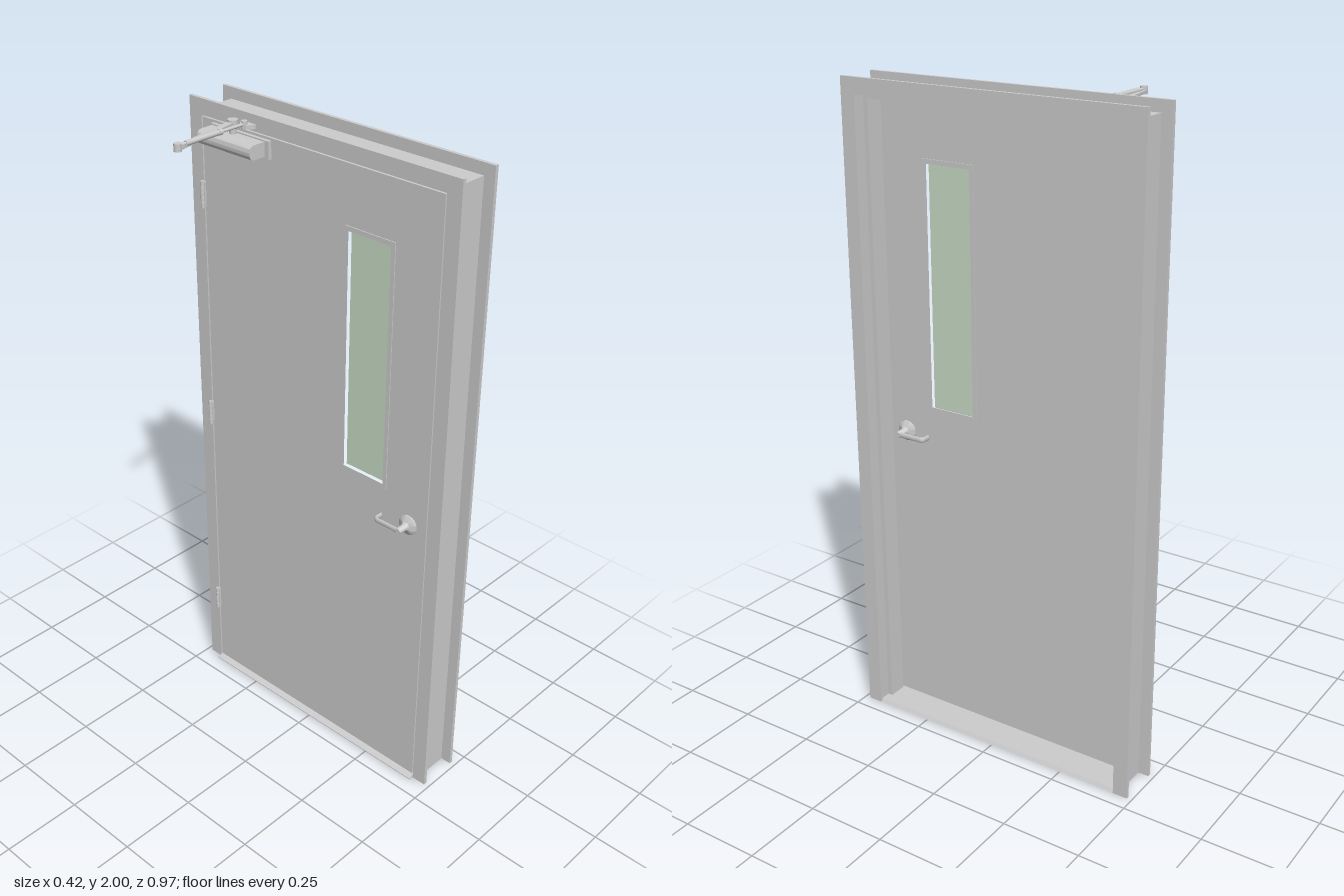
import * as THREE from 'three';
import { toCreasedNormals } from 'three/addons/utils/BufferGeometryUtils.js';

const grey = new THREE.MeshStandardMaterial({ color: 0xcccccc });
const green = new THREE.MeshStandardMaterial({ color: 0xc8dcc4 });

function add(parent, name, geometry, material = grey) {
  const mesh = new THREE.Mesh(geometry, material);
  mesh.name = name;
  parent.add(mesh);
  return mesh;
}

function group(parent, name) {
  const g = new THREE.Group();
  g.name = name;
  parent.add(g);
  return g;
}

// Box given by its limits on each axis
function box(x0, x1, y0, y1, z0, z1) {
  return new THREE.BoxGeometry(x1 - x0, y1 - y0, z1 - z0)
    .translate((x0 + x1) / 2, (y0 + y1) / 2, (z0 + z1) / 2);
}

// Shape drawn in the door plane as (z, y) pairs
const outline = (pts, Type = THREE.Shape) => new Type(pts.map(([z, y]) => new THREE.Vector2(-z, y)));
const rect = (z0, z1, y0, y1) => [[z0, y0], [z1, y0], [z1, y1], [z0, y1]];

// Extrudes a door-plane shape through the wall, from x0 to x1
function through(shape, x0, x1) {
  return new THREE.ExtrudeGeometry(shape, { depth: x1 - x0, bevelEnabled: false })
    .rotateY(Math.PI / 2).translate(x0, 0, 0);
}

// Round rod between two points, with optional taper
function rod(a, b, r0, r1 = r0, sides = 16) {
  const p = new THREE.Vector3(...a), d = new THREE.Vector3(...b).sub(p);
  const q = new THREE.Quaternion().setFromUnitVectors(new THREE.Vector3(0, 1, 0), d.clone().normalize());
  const m = p.clone().addScaledVector(d, 0.5);
  return new THREE.CylinderGeometry(r1, r0, d.length(), sides).applyQuaternion(q).translate(m.x, m.y, m.z);
}

const OPEN_Z = 0.437, OPEN_Y = 1.953;   // frame opening: half width and height
const FACE = 0.066, BACK = 0.106;       // leaf surfaces

function makeFrame(root) {
  const frame = group(root, 'frame');
  // Each layer: start, end, outward reach, inward reach
  const layers = [
    ['rearCasing', 0.065, 0.076, 0.047, 0],
    ['rearRabbet', 0.076, 0.11, 0.013, 0],
    ['doorStop', 0.11, 0.168, 0.013, 0.015],
    ['frontRabbet', 0.168, 0.195, 0.013, 0],
    ['frontCasing', 0.195, 0.206, 0.047, 0],
  ];
  for (const [name, x0, x1, out, inn] of layers) {
    const zo = OPEN_Z + out, yo = OPEN_Y + out, zi = OPEN_Z - inn, yi = OPEN_Y - inn;
    const u = outline([[zo, 0], [zo, yo], [-zo, yo], [-zo, 0], [-zi, 0], [-zi, yi], [zi, yi], [zi, 0]]);
    add(frame, name, through(u, x0, x1));
  }
}

function makeThreshold(root) {
  const s = new THREE.Shape([[0.05, 0], [0.205, 0], [0.198, 0.011], [0.07, 0.011], [0.05, 0.003]]
    .map(([x, y]) => new THREE.Vector2(x, y)));
  const g = new THREE.ExtrudeGeometry(s, { depth: 2 * OPEN_Z, bevelEnabled: false });
  add(root, 'threshold', g.translate(0, 0, -OPEN_Z));
}

function makeLeaf(root) {
  const leaf = group(root, 'door');
  const panel = outline(rect(-0.433, 0.433, 0.014, 1.949));
  panel.holes.push(outline(rect(0.115, 0.275, 1.03, 1.77), THREE.Path));
  add(leaf, 'doorPanel', through(panel, FACE, BACK));

  // Raised trim around the window on both faces
  const trim = outline(rect(0.108, 0.282, 1.022, 1.778));
  trim.holes.push(outline(rect(0.121, 0.269, 1.036, 1.764), THREE.Path));
  add(leaf, 'rearWindowTrim', through(trim, FACE - 0.003, FACE + 0.012));
  add(leaf, 'frontWindowTrim', through(trim, BACK - 0.012, BACK + 0.003));
  add(leaf, 'windowGlass', box(0.083, 0.089, 1.03, 1.77, 0.115, 0.275), green);
}

// Lever handle, centred on the leaf and pointing to -x
function makeHandle(root, name, turn) {
  const handle = group(root, name);
  const profile = [[0, 0], [0.031, 0], [0.031, 0.005], [0.026, 0.008], [0.015, 0.014],
    [0.011, 0.022], [0.01, 0.044], [0.008, 0.048], [0, 0.048]].map(([r, h]) => new THREE.Vector2(r, h));
  const rose = toCreasedNormals(new THREE.LatheGeometry(profile, 28), 0.6);
  add(handle, 'rose', rose.rotateZ(Math.PI / 2).translate(-0.02, 0, 0));

  // Flattened bar that turns back towards the door
  const v = (x, z) => new THREE.Vector3(x, 0, z);
  const path = new THREE.CurvePath();
  path.add(new THREE.LineCurve3(v(-0.064, 0), v(-0.064, -0.078)));
  path.add(new THREE.QuadraticBezierCurve3(v(-0.064, -0.078), v(-0.064, -0.089), v(-0.055, -0.089)));
  path.add(new THREE.LineCurve3(v(-0.055, -0.089), v(-0.036, -0.089)));
  add(handle, 'lever', new THREE.TubeGeometry(path, 40, 0.004, 12).scale(1, 2.1, 1));
  add(handle, 'leverTip', new THREE.SphereGeometry(0.004, 12, 8).scale(1, 2.1, 1).translate(-0.036, 0, -0.089));

  handle.position.set((FACE + BACK) / 2, 0.94, 0.368);
  handle.rotation.z = turn;
}

function makeHinges(root) {
  for (const y of [0.262, 0.995, 1.72]) {
    const hinge = group(root, 'hinge');
    add(hinge, 'hingeLeaf', box(0.06, 0.068, -0.039, 0.039, -0.444, -0.43));
    // Five knuckles on one pin
    for (let i = 0; i < 5; i++) {
      const y0 = -0.039 + i * 0.0158;
      add(hinge, 'hingeKnuckle', rod([0.058, y0, -0.437], [0.058, y0 + 0.0148, -0.437], 0.006));
    }
    add(hinge, 'hingePin', rod([0.058, -0.042, -0.437], [0.058, 0.042, -0.437], 0.004));
    hinge.position.y = y;
  }
}

function makeCloser(root) {
  const closer = group(root, 'doorCloser');
  // Body with a rounded outer side
  const s = new THREE.Shape();
  s.moveTo(FACE, 1.896);
  s.lineTo(FACE, 1.938);
  s.lineTo(0.016, 1.938);
  s.quadraticCurveTo(-0.002, 1.938, -0.002, 1.917);
  s.quadraticCurveTo(-0.002, 1.896, 0.016, 1.896);
  const body = new THREE.ExtrudeGeometry(s, { depth: 0.205, bevelEnabled: false }).translate(0, 0, -0.385);
  add(closer, 'closerBody', toCreasedNormals(body, 0.6));
  add(closer, 'closerPlate', box(0.055, FACE, 1.89, 1.942, -0.39, -0.165));
  add(closer, 'closerSpindle', rod([0.045, 1.885, -0.291], [0.045, 1.975, -0.291], 0.01));
  add(closer, 'spindleCap', rod([0.045, 1.958, -0.291], [0.045, 1.978, -0.291], 0.015));

  // Flat main arm from spindle to elbow
  const a = new THREE.Vector2(0.045, -0.291), b = new THREE.Vector2(-0.198, -0.247);
  const d = b.clone().sub(a);
  const arm = add(closer, 'mainArm', new THREE.BoxGeometry(d.length(), 0.008, 0.02));
  arm.position.set((a.x + b.x) / 2, 1.968, (a.y + b.y) / 2);
  arm.rotation.y = -Math.atan2(d.y, d.x);
  add(closer, 'elbow', rod([-0.198, 1.96, -0.247], [-0.198, 1.982, -0.247], 0.011));

  // Adjustable forearm back to the frame head
  const y = 1.974, z = -0.247;
  add(closer, 'forearmRod', rod([-0.198, y, z], [0.045, y, z], 0.0045));
  add(closer, 'forearmSleeve', rod([-0.17, y, z], [-0.045, y, z], 0.0075));
  add(closer, 'forearmCollar', rod([-0.05, y, z], [-0.04, y, z], 0.009));
  add(closer, 'forearmPivot', rod([0.046, 1.962, z], [0.046, 1.984, z], 0.009));

  // Foot fixed to the head casing, tapered in plan
  const foot = new THREE.Shape([[0.066, 0.273], [0.058, 0.273], [0.04, 0.258], [0.04, 0.236], [0.058, 0.221], [0.066, 0.221]]
    .map(([x, w]) => new THREE.Vector2(x, w)));
  const footGeo = new THREE.ExtrudeGeometry(foot, { depth: 0.012, bevelEnabled: false });
  add(closer, 'armFoot', footGeo.rotateX(-Math.PI / 2).translate(0, 1.962, 0));
}

export function createModel() {
  const root = new THREE.Group();
  root.name = 'doorWithFrame';
  makeFrame(root);
  makeThreshold(root);
  makeLeaf(root);
  makeHandle(root, 'rearHandle', 0);
  makeHandle(root, 'frontHandle', Math.PI);
  makeHinges(root);
  makeCloser(root);
  return root;
}
